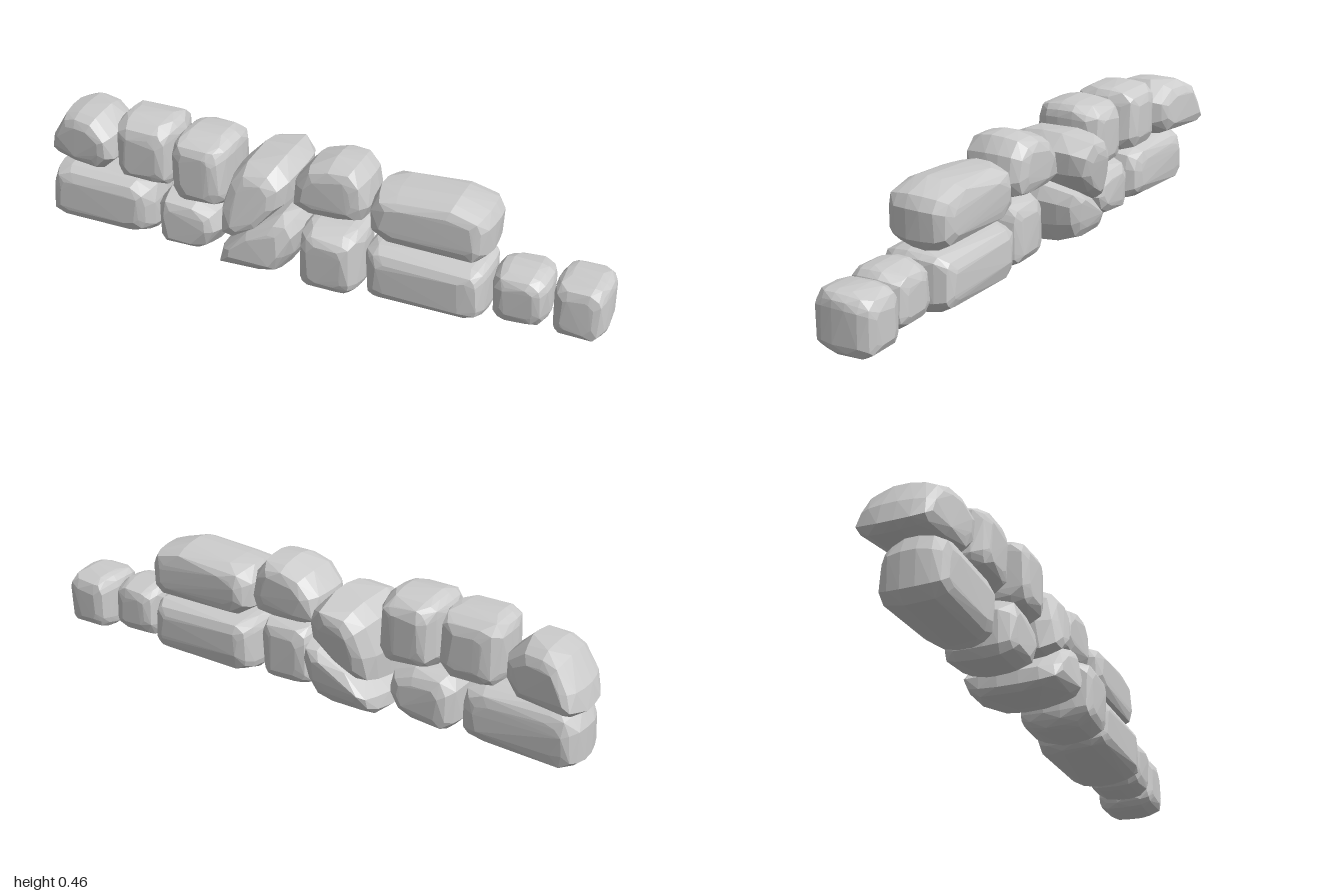
import * as THREE from 'three';
import { ConvexGeometry } from 'three/addons/geometries/ConvexGeometry.js';

// Seeded random numbers for the chipped surfaces
let seed = 7;
const rand = () => {
  seed = (seed * 16807) % 2147483647;
  return seed / 2147483647;
};

// Front outline of a squared block with worn corners
function block(x0, x1, y0, y1, r = 0.05) {
  const pts = [];
  const corners = [[x1 - r, y1 - r], [x0 + r, y1 - r], [x0 + r, y0 + r], [x1 - r, y0 + r]];
  corners.forEach(([cx, cy], i) => {
    for (let k = 0; k < 4; k++) {
      const a = (i + k / 3) * Math.PI / 2;
      pts.push([cx + r * Math.cos(a), cy + r * Math.sin(a)]);
    }
  });
  return pts;
}

// Depth layers: position along the depth and how far the outline draws in
const LAYERS = [[-1, 0.46], [-0.9, 0.2], [-0.62, 0.05], [-0.22, 0], [0.22, 0], [0.62, 0.04], [0.9, 0.18], [1, 0.42]];

// Faceted stone: hull of the outline repeated through its depth, roughened.
// skew slides the depth along x, lean slides it along y.
function stone(name, outline, zBack, zFront, skew = 0, lean = 0) {
  const xs = outline.map(p => p[0]), ys = outline.map(p => p[1]);
  const x0 = Math.min(...xs), x1 = Math.max(...xs), y0 = Math.min(...ys), y1 = Math.max(...ys);
  const cx = (x0 + x1) / 2, cy = (y0 + y1) / 2, hw = (x1 - x0) / 2, hh = (y1 - y0) / 2;
  const cz = (zBack + zFront) / 2, hz = (zFront - zBack) / 2, small = Math.min(hw, hh);
  const points = [];
  for (const [t, inset] of LAYERS) {
    for (const [x, y] of outline) {
      const d = small * (inset + rand() * (inset ? 0.1 : 0.04));
      const u = (x - cx) * (1 - d / hw), v = (y - cy) * (1 - d / hh);
      const z = cz + hz * t * (1 - rand() * 0.06) + skew * u + lean * v;
      points.push(new THREE.Vector3(cx + u, cy + v, z));
    }
  }
  const material = new THREE.MeshStandardMaterial({ color: 0xcccccc, flatShading: true, roughness: 0.9 });
  const mesh = new THREE.Mesh(new ConvexGeometry(points), material);
  mesh.name = name;
  return mesh;
}

export function createModel() {
  const wall = new THREE.Group();
  wall.name = 'stoneWall';

  // Lower course, from the model's right to its left
  const lower = new THREE.Group();
  lower.name = 'lowerCourse';
  lower.add(
    stone('longStoneEnd', [[-0.98, 0.04], [-0.98, 0.16], [-0.955, 0.215], [-0.9, 0.23], [-0.64, 0.225], [-0.58, 0.205],
      [-0.57, 0.15], [-0.57, 0.06], [-0.59, 0.03], [-0.65, 0.015], [-0.94, 0.01]], -0.1, 0.12),
    stone('chippedStone', [[-0.55, 0.05], [-0.555, 0.17], [-0.52, 0.22], [-0.4, 0.22], [-0.32, 0.19], [-0.305, 0.12],
      [-0.34, 0.05], [-0.4, 0.02], [-0.53, 0.02]], -0.1, 0.14),
    stone('wedgeStone', [[-0.305, 0.03], [-0.3, 0.08], [-0.2, 0.18], [-0.08, 0.25], [-0.03, 0.25], [-0.01, 0.2],
      [-0.03, 0.11], [-0.07, 0.04], [-0.14, 0.02], [-0.28, 0.015]], -0.16, 0.18, 0, -0.1),
    stone('squareStone', block(-0.015, 0.2, 0.005, 0.245), -0.08, 0.18),
    stone('longStone', block(0.205, 0.62, 0.012, 0.215, 0.045), -0.11, 0.15),
    stone('smallStone', block(0.625, 0.815, 0.025, 0.22), -0.08, 0.12),
    stone('smallStoneEnd', block(0.82, 1.0, 0.015, 0.218, 0.045), -0.11, 0.105)
  );

  // Upper course, which stops short of the two small stones
  const upper = new THREE.Group();
  upper.name = 'upperCourse';
  upper.add(
    stone('roundStoneEnd', [[-1, 0.25], [-0.985, 0.32], [-0.93, 0.41], [-0.87, 0.43], [-0.79, 0.43], [-0.725, 0.365],
      [-0.72, 0.28], [-0.77, 0.23], [-0.88, 0.225], [-0.97, 0.232]], -0.15, 0.095, 0.2),
    stone('squareCapStone', block(-0.715, -0.49, 0.225, 0.46), -0.12, 0.12),
    stone('squareCapStoneInner', block(-0.485, -0.275, 0.215, 0.455), -0.11, 0.15),
    stone('leaningStone', [[-0.3, 0.14], [-0.3, 0.24], [-0.27, 0.35], [-0.22, 0.4], [-0.11, 0.41], [-0.06, 0.36],
      [-0.065, 0.28], [-0.15, 0.19], [-0.25, 0.13]], -0.18, 0.17, 0, -0.2),
    stone('roundCapStone', [[-0.065, 0.28], [-0.055, 0.37], [0, 0.435], [0.08, 0.463], [0.16, 0.46], [0.2, 0.41],
      [0.212, 0.32], [0.19, 0.265], [0.12, 0.245], [0, 0.25]], -0.11, 0.12),
    stone('longCapStone', [[0.21, 0.26], [0.21, 0.35], [0.235, 0.4], [0.3, 0.41], [0.5, 0.42], [0.6, 0.39],
      [0.622, 0.35], [0.62, 0.25], [0.59, 0.215], [0.27, 0.22]], -0.11, 0.13)
  );

  wall.add(lower, upper);
  return wall;
}
